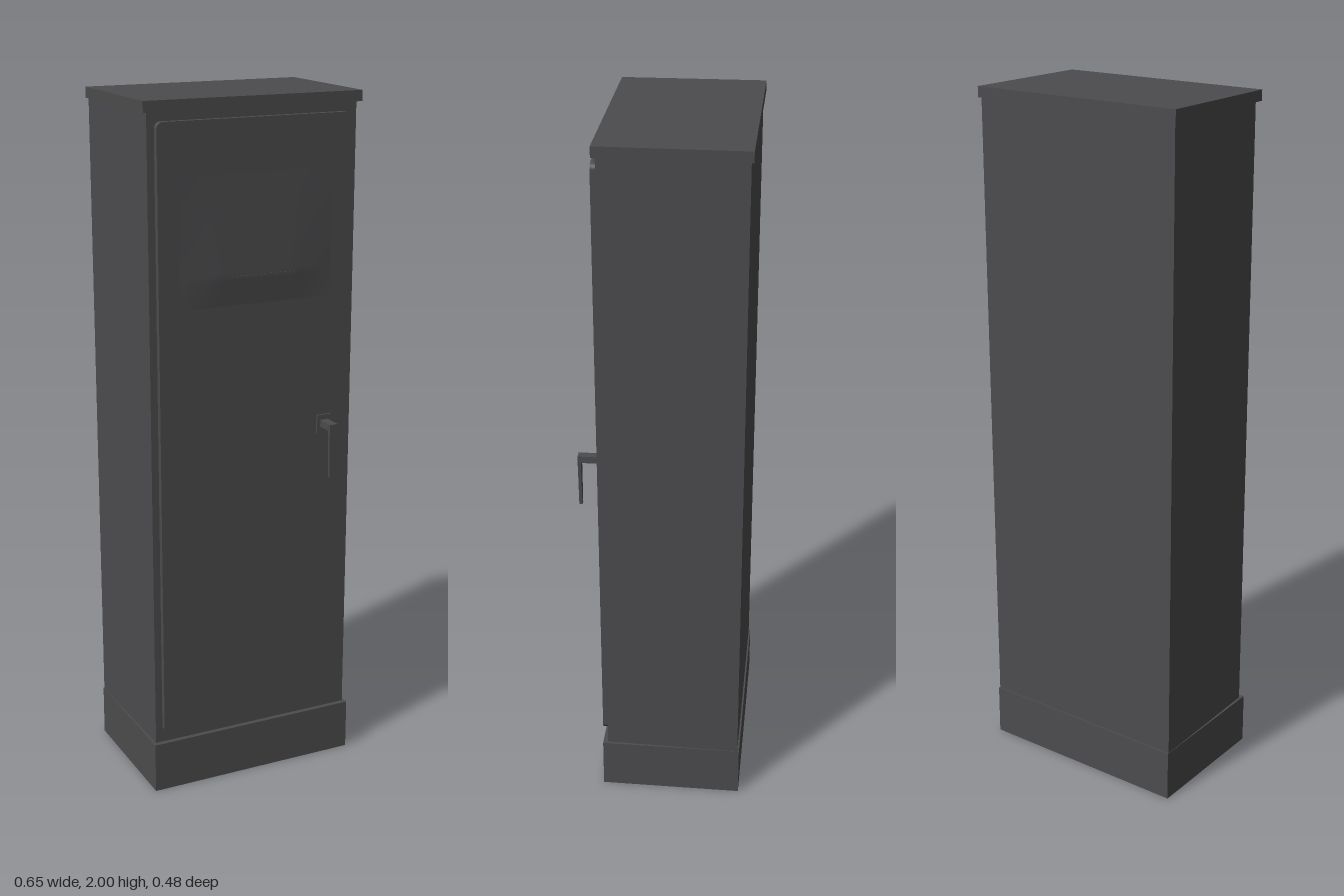
import * as THREE from 'three';

const material = new THREE.MeshStandardMaterial({ color: 0x4c4c4e });

// Polygon from [x, y] corners
function polygon(points) {
  return new THREE.Shape(points.map(([x, y]) => new THREE.Vector2(x, y)));
}

function roundedRect(x0, y0, x1, y1, r) {
  const s = new THREE.Shape();
  s.absarc(x1 - r, y0 + r, r, -Math.PI / 2, 0);
  s.absarc(x1 - r, y1 - r, r, 0, Math.PI / 2);
  s.absarc(x0 + r, y1 - r, r, Math.PI / 2, Math.PI);
  s.absarc(x0 + r, y0 + r, r, Math.PI, Math.PI * 1.5);
  s.closePath();
  return s;
}

export function createModel() {
  const cabinet = new THREE.Group();
  cabinet.name = 'cabinet';

  function add(name, geometry, x = 0, y = 0, z = 0) {
    const mesh = new THREE.Mesh(geometry, material);
    mesh.name = name;
    mesh.position.set(x, y, z);
    cabinet.add(mesh);
    return mesh;
  }

  // Upright slab whose plan narrows from back to front
  function slab(name, y0, y1, backHalf, frontHalf, zBack, zFront) {
    const plan = polygon([[-frontHalf, -zFront], [frontHalf, -zFront], [backHalf, -zBack], [-backHalf, -zBack]]);
    const g = new THREE.ExtrudeGeometry(plan, { depth: y1 - y0, bevelEnabled: false });
    g.rotateX(-Math.PI / 2);
    return add(name, g, 0, y0, 0);
  }

  slab('plinth', 0, 0.15, 0.322, 0.319, -0.235, 0.174);
  slab('body', 0.15, 1.97, 0.321, 0.311, -0.23, 0.16);
  slab('lid', 1.97, 2, 0.327, 0.324, -0.237, 0.17);

  // Door: raised panel with softly rounded corners
  const doorFront = 0.177;
  const door = new THREE.ExtrudeGeometry(roundedRect(-0.29, 0.182, 0.29, 1.945, 0.018),
    { depth: doorFront - 0.155, bevelEnabled: false, curveSegments: 4 });
  add('door', door, 0, 0, 0.155);

  // Shallow pressed bulge, steepest just under its lower lip
  const bulge = new THREE.PlaneGeometry(0.46, 0.36, 24, 36);
  const p = bulge.attributes.position;
  for (let i = 0; i < p.count; i++) {
    const x = Math.abs(p.getX(i)), y = p.getY(i) + 1.62;
    const across = THREE.MathUtils.clamp((0.23 - x) / 0.11, 0, 1);
    const up = y > 1.52 ? (1.8 - y) / 0.28 : (y - 1.44) / 0.08;
    p.setZ(i, 0.0005 + 0.007 * across * Math.max(0, up));
  }
  bulge.computeVertexNormals();
  add('doorBulge', bulge, 0, 1.62, doorFront);
  add('bulgeLip', new THREE.BoxGeometry(0.175, 0.005, 0.009), 0.027, 1.52, doorFront + 0.0045);

  // Handle: mounting plate, stem and tapered lever
  add('handlePlate', new THREE.BoxGeometry(0.045, 0.055, 0.006), 0.217, 1.065, doorFront + 0.003);
  add('handleStem', new THREE.BoxGeometry(0.025, 0.02, 0.06), 0.217, 1.068, 0.205);
  const lever = new THREE.ExtrudeGeometry(
    polygon([[0.206, 0.92], [0.221, 0.92], [0.23, 1.078], [0.204, 1.078]]),
    { depth: 0.009, bevelEnabled: false });
  add('handleLever', lever, 0, 0, 0.231);

  return cabinet;
}
